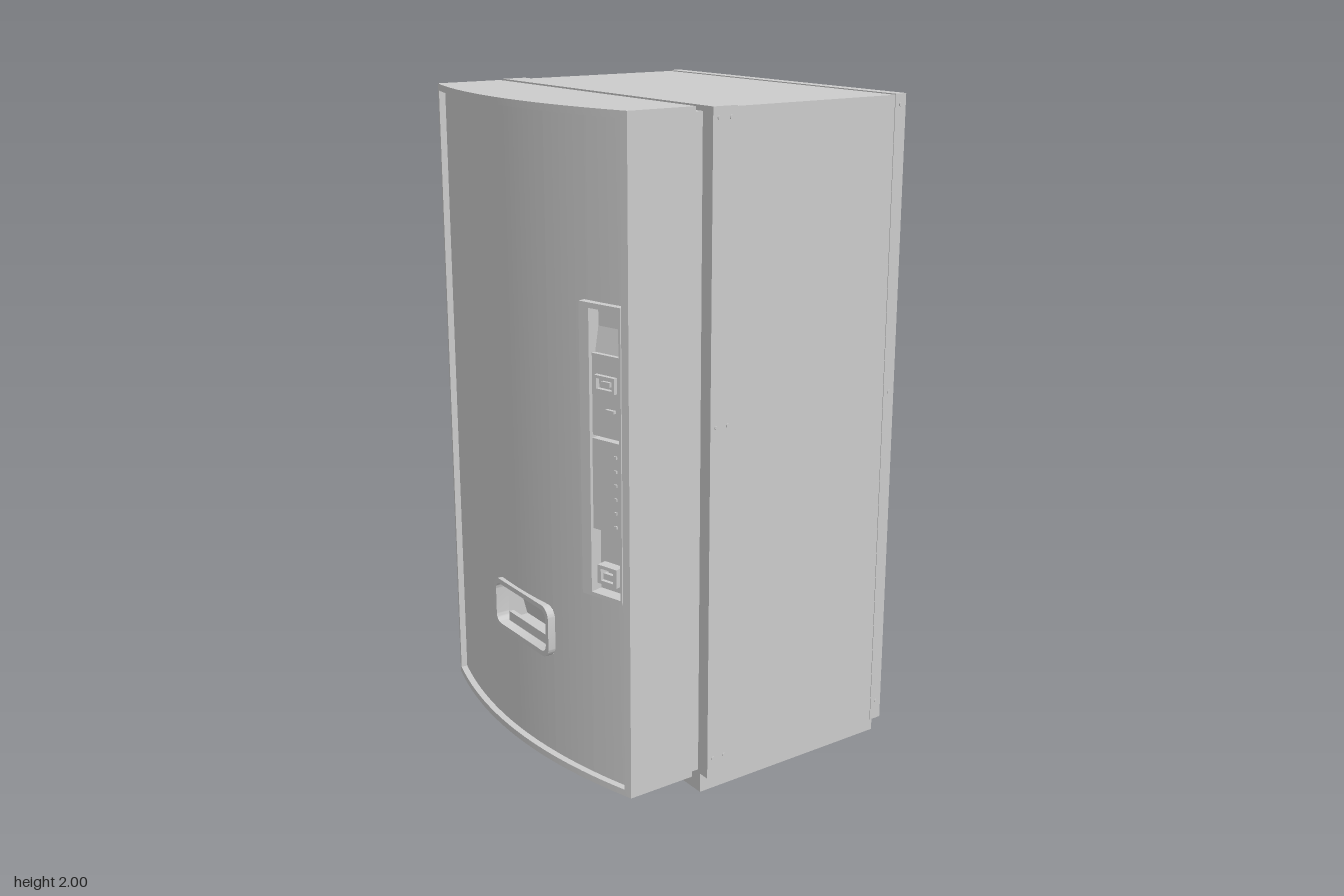
import * as THREE from 'three';
import { toCreasedNormals } from 'three/addons/utils/BufferGeometryUtils.js';
import { ConvexGeometry } from 'three/addons/geometries/ConvexGeometry.js';

const grey = new THREE.MeshStandardMaterial({ color: 0xcccccc });

function add(parent, name, geometry) {
  const mesh = new THREE.Mesh(geometry, grey);
  mesh.name = name;
  parent.add(mesh);
  return mesh;
}

// Box given by its limits on each axis
function box(parent, name, x0, x1, y0, y1, z0, z1) {
  const mesh = add(parent, name, new THREE.BoxGeometry(x1 - x0, y1 - y0, z1 - z0));
  mesh.position.set((x0 + x1) / 2, (y0 + y1) / 2, (z0 + z1) / 2);
  return mesh;
}

// Rectangle outline with optional corner radius
function rect(x0, x1, y0, y1, r = 0, Type = THREE.Shape) {
  const s = new Type();
  if (!r) {
    s.moveTo(x0, y0).lineTo(x1, y0).lineTo(x1, y1).lineTo(x0, y1).closePath();
    return s;
  }
  s.absarc(x1 - r, y0 + r, r, -Math.PI / 2, 0);
  s.absarc(x1 - r, y1 - r, r, 0, Math.PI / 2);
  s.absarc(x0 + r, y1 - r, r, Math.PI / 2, Math.PI);
  s.absarc(x0 + r, y0 + r, r, Math.PI, Math.PI * 1.5);
  s.closePath();
  return s;
}

// Flat frame: outline with a hole, extruded from z0 to z1
function frame(parent, name, outer, hole, z0, z1) {
  outer.holes.push(hole);
  const g = new THREE.ExtrudeGeometry(outer, { depth: z1 - z0, bevelEnabled: false, curveSegments: 6 });
  g.translate(0, 0, z0);
  return add(parent, name, toCreasedNormals(g, 0.6));
}

// Slab whose front follows the bowed door face
const bow = (x) => 0.465 + 0.081 * (1 - (x / 0.51) ** 2);
function bowedSlab(parent, name, x0, x1, y0, y1, inset) {
  const s = new THREE.Shape();
  s.moveTo(x0, -0.42);
  const n = Math.max(2, Math.ceil((x1 - x0) * 32));
  for (let i = 0; i <= n; i++) {
    const x = x0 + ((x1 - x0) * i) / n;
    s.lineTo(x, -(bow(x) - inset));
  }
  s.lineTo(x1, -0.42);
  s.closePath();
  const g = new THREE.ExtrudeGeometry(s, { depth: y1 - y0, bevelEnabled: false });
  g.rotateX(-Math.PI / 2).translate(0, y0, 0);
  return add(parent, name, toCreasedNormals(g, 0.5));
}

function buildCabinet(root) {
  const cabinet = new THREE.Group();
  cabinet.name = 'cabinet';
  root.add(cabinet);

  box(cabinet, 'plinth', -0.51, 0.51, 0, 0.06, -0.46, 0.22);
  box(cabinet, 'cabinetBody', -0.543, 0.543, 0.06, 1.997, -0.26, 0.14);
  box(cabinet, 'cabinetFrontFrame', -0.545, 0.545, 0.06, 2, 0.14, 0.22);

  // Rear shell with the open compressor bay
  frame(cabinet, 'rearShell', rect(-0.543, 0.543, 0.06, 1.997),
    rect(0.05, 0.5, 0.17, 0.49, 0, THREE.Path), -0.452, -0.26);
  frame(cabinet, 'rearFrame', rect(-0.545, 0.545, 0.06, 2),
    rect(-0.512, 0.512, 0.13, 1.965, 0, THREE.Path), -0.46, -0.42);

  // Bulging rear cover: shrinking rectangles [z, half width, bottom, top]
  const points = [];
  const sections = [
    [-0.45, 0.51, 0.52, 1.95], [-0.51, 0.455, 0.58, 1.915], [-0.53, 0.435, 0.6, 1.9],
    [-0.544, 0.415, 0.622, 1.88], [-0.55, 0.39, 0.65, 1.85],
  ];
  for (const [z, hx, y0, y1] of sections)
    for (const x of [-hx, hx]) for (const y of [y0, y1]) points.push(new THREE.Vector3(x, y, z));
  add(cabinet, 'rearCover', toCreasedNormals(new ConvexGeometry(points), 0.55));

  // Ventilation louvers
  const profile = new THREE.Shape([[0.45, 0], [0.48, 0], [0.505, 0], [0.478, 0.06], [0.45, 0.06]]
    .map(([x, y]) => new THREE.Vector2(x, y)));
  for (const y of [0.16, 0.285, 0.41]) {
    const g = new THREE.ExtrudeGeometry(profile, { depth: 0.48, bevelEnabled: false });
    g.rotateY(Math.PI / 2);
    add(cabinet, 'louver', g).position.set(-0.49, y, 0);
  }

  // Side screws
  for (const side of [-1, 1])
    for (const y of [0.12, 1.13, 1.97])
      for (const z of [0.2, 0.16, -0.44]) {
        const screw = add(cabinet, 'screw', new THREE.CylinderGeometry(0.006, 0.006, 0.006, 10));
        screw.rotation.z = Math.PI / 2;
        screw.position.set(side * 0.545, y, z);
      }
}

function buildDoor(root) {
  const door = new THREE.Group();
  door.name = 'door';
  root.add(door);

  box(door, 'doorGasket', -0.5, 0.5, 0.07, 1.985, 0.22, 0.25);
  box(door, 'doorSlab', -0.51, 0.51, 0.06, 2, 0.25, 0.42);

  // Raised rim around the front panel
  bowedSlab(door, 'rimTop', -0.51, 0.51, 1.98, 2, 0);
  bowedSlab(door, 'rimBottom', -0.51, 0.51, 0.06, 0.08, 0);
  bowedSlab(door, 'rimRight', -0.51, -0.495, 0.08, 1.98, 0);
  bowedSlab(door, 'rimLeft', 0.487, 0.51, 0.08, 1.98, 0);

  // Bowed front panel, pieced around the two openings [x0, x1, y0, y1]
  const pieces = [
    [-0.495, -0.122, 0.08, 1.98],
    [-0.122, 0.182, 0.08, 0.398], [-0.122, 0.182, 0.542, 1.98],
    [0.182, 0.35, 0.08, 1.98],
    [0.35, 0.487, 0.08, 0.655], [0.35, 0.487, 1.485, 1.98],
  ];
  for (const p of pieces) bowedSlab(door, 'frontPanel', ...p, 0.021);
}

function buildDispenser(root) {
  const chute = new THREE.Group();
  chute.name = 'dispenser';
  root.add(chute);
  frame(chute, 'dispenserRing', rect(-0.13, 0.19, 0.39, 0.55, 0.035),
    rect(-0.115, 0.175, 0.405, 0.535, 0.025, THREE.Path), 0.495, 0.538);
  const back = box(chute, 'dispenserBack', -0.12, 0.18, 0.4, 0.55, 0.44, 0.446);
  back.rotation.x = 0.25;
  box(chute, 'dispenserFlap', -0.095, 0.15, 0.4, 0.435, 0.49, 0.505);
}

function buildControls(root) {
  const panel = new THREE.Group();
  panel.name = 'controlPanel';
  panel.position.set(0.415, 0, 0.493);
  panel.rotation.y = 0.26;
  root.add(panel);

  frame(panel, 'controlBezel', rect(-0.075, 0.073, 0.65, 1.49),
    rect(-0.04, 0.066, 0.662, 1.475, 0, THREE.Path), -0.04, 0);
  box(panel, 'controlBacking', -0.042, 0.067, 0.66, 1.48, -0.05, -0.04);

  // Upper pocket with sloped face, above the coin block
  box(panel, 'upperSlope', -0.04, 0.066, 1.34, 1.42, -0.04, -0.032).rotation.x = -0.2;
  box(panel, 'coinBlock', -0.04, 0.066, 1.12, 1.35, -0.04, -0.012);
  frame(panel, 'coinSlotSurround', rect(-0.022, 0.05, 1.25, 1.295),
    rect(-0.014, 0.042, 1.258, 1.287, 0, THREE.Path), -0.014, 0.001);
  box(panel, 'coinSlot', 0, 0.03, 1.266, 1.279, -0.013, -0.004);
  box(panel, 'returnLever', 0.015, 0.045, 1.195, 1.203, -0.014, -0.002);

  // Selection plate and its row of small buttons
  box(panel, 'selectionPlate', -0.038, 0.06, 0.85, 1.112, -0.04, -0.008);
  for (let i = 0; i < 6; i++)
    box(panel, 'selectionButton', 0.043, 0.052, 0.868 + i * 0.04, 0.876 + i * 0.04, -0.01, -0.003);

  // Coin return cup
  frame(panel, 'coinReturn', rect(-0.025, 0.045, 0.69, 0.745),
    rect(-0.013, 0.033, 0.7, 0.735, 0, THREE.Path), -0.04, -0.008);
  box(panel, 'coinReturnFlap', -0.013, 0.033, 0.7, 0.718, -0.032, -0.02);
}

export function createModel() {
  const root = new THREE.Group();
  root.name = 'vendingMachine';
  buildCabinet(root);
  buildDoor(root);
  buildDispenser(root);
  buildControls(root);
  return root;
}
